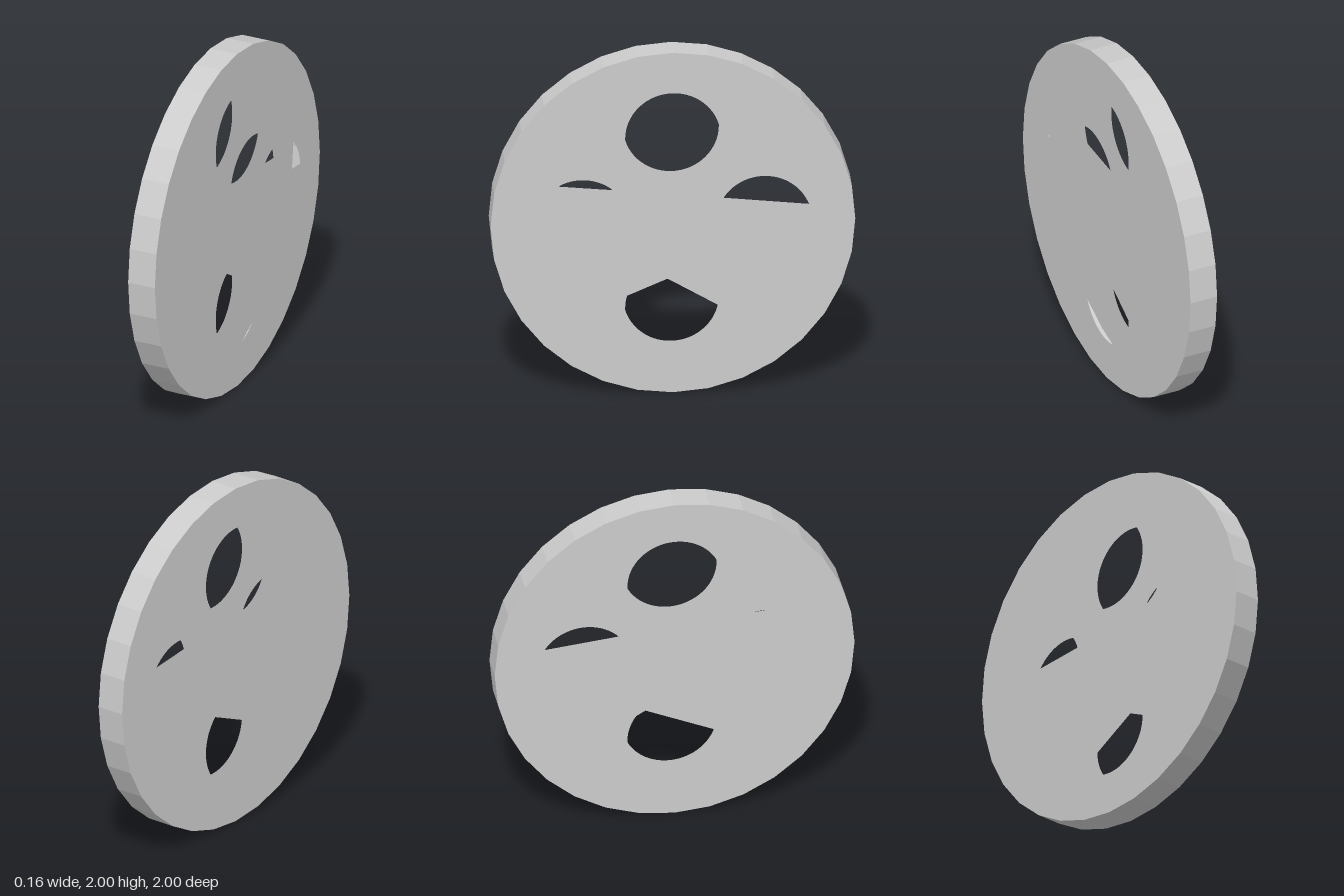
import * as THREE from 'three';

const HALF = 0.082;   // half the disc thickness
const SIDES = 32;
const HOLE_R = 0.262;

// Points on an arc in the (z, y) plane, angles in degrees
function arc(z, y, r, from, to, steps) {
  return Array.from({ length: steps + 1 }, (_, i) => {
    const a = THREE.MathUtils.degToRad(from + (to - from) * i / steps);
    return new THREE.Vector2(z + r * Math.cos(a), y + r * Math.sin(a));
  });
}

// Flat face with its cut-outs; side is +1 or -1 along x
function facePlate(side, holes, material) {
  const place = pts => pts.map(p => new THREE.Vector2(-side * p.x, p.y));
  const shape = new THREE.Shape(place(arc(0, 1, 1, 0, 360, SIDES).slice(0, -1)));
  for (const [z, y, from, to] of holes) {
    let pts = arc(z, y, HOLE_R, from, to, 64);
    if (to - from === 360) pts = pts.slice(0, -1);
    shape.holes.push(new THREE.Path(place(pts)));
  }
  const geometry = new THREE.ShapeGeometry(shape);
  geometry.rotateY(side * Math.PI / 2);
  geometry.translate(side * HALF, 0, 0);
  return new THREE.Mesh(geometry, material);
}

export function createModel() {
  const group = new THREE.Group();
  group.name = 'piercedDisc';
  const material = new THREE.MeshStandardMaterial({
    color: 0xcccccc, flatShading: true, side: THREE.DoubleSide,
  });

  // Faceted outer rim, open at both ends
  const rimGeometry = new THREE.CylinderGeometry(1, 1, HALF * 2, SIDES, 1, true);
  rimGeometry.rotateZ(Math.PI / 2);
  rimGeometry.translate(0, 1, 0);
  const rim = new THREE.Mesh(rimGeometry, material);
  rim.name = 'rim';
  group.add(rim);

  // Cut-outs as [z, y, start angle, end angle]; a part arc is closed by its chord
  const shared = [
    [0, 1.5, 0, 360],
    [0.5, 1, 40.4, 150.5],
    [-0.5, 1, 17.2, 174.5],
  ];
  const left = facePlate(1, [...shared, [0, 0.5, 180, 420.5]], material);
  left.name = 'leftFace';
  const right = facePlate(-1, [...shared, [0, 0.5, 133.5, 360]], material);
  right.name = 'rightFace';
  group.add(left, right);
  return group;
}
